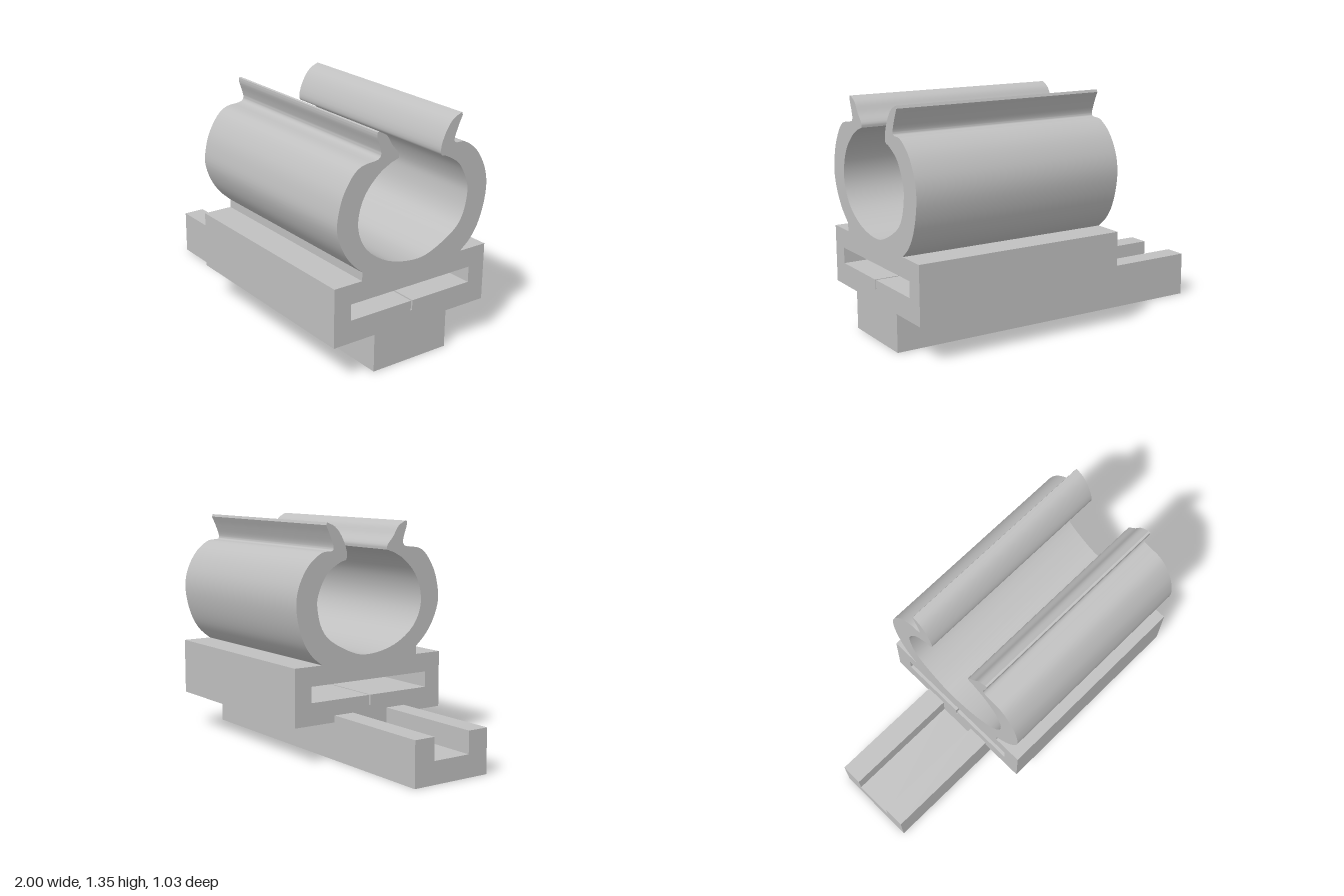
import * as THREE from 'three';
import { toCreasedNormals } from 'three/addons/utils/BufferGeometryUtils.js';

const BODY_START = -0.28;
const END = 1;

// Points are [-z, y]; the profile is swept along x.
const toVectors = (points) => points.map(([a, y]) => new THREE.Vector2(a, y));

function smooth(points, divisions) {
  const curve = new THREE.CatmullRomCurve3(
    points.map(([a, y]) => new THREE.Vector3(a, y, 0)), false, 'centripetal');
  return curve.getPoints(divisions).map((p) => [p.x, p.y]);
}

function sweep(name, points, x0, x1, material, hole) {
  const shape = new THREE.Shape(toVectors(points));
  if (hole) shape.holes.push(new THREE.Path(toVectors(hole)));
  let geometry = new THREE.ExtrudeGeometry(shape, { depth: x1 - x0, bevelEnabled: false });
  geometry.rotateY(Math.PI / 2);
  geometry.translate(x0, 0, 0);
  geometry = toCreasedNormals(geometry, 0.6);
  const mesh = new THREE.Mesh(geometry, material);
  mesh.name = name;
  return mesh;
}

export function createModel() {
  const group = new THREE.Group();
  group.name = 'railClip';
  const grey = new THREE.MeshStandardMaterial({ color: 0xc0c0c0 });
  grey.name = 'lightGrey';

  // Grooved rail sticking out past the body
  group.add(sweep('rail', [
    [-0.25, 0], [0.25, 0], [0.25, 0.26], [0.12, 0.26],
    [0.12, 0.13], [-0.12, 0.13], [-0.12, 0.26], [-0.25, 0.26],
  ], -1, BODY_START, grey));

  // Solid foot below the body
  group.add(sweep('foot', [
    [-0.25, 0], [0.25, 0], [0.25, 0.22], [-0.25, 0.22],
  ], BODY_START, END, grey));

  // Wide body with a through slot and a thin slit in the slot floor
  group.add(sweep('body', [
    [-0.517, 0.22], [0.517, 0.22], [0.517, 0.556], [-0.517, 0.556],
  ], BODY_START, END, grey, [
    [-0.41, 0.35], [-0.41, 0.443], [0.407, 0.443], [0.407, 0.35],
    [0.006, 0.35], [0.006, 0.293], [-0.004, 0.293], [-0.004, 0.35],
  ]));

  // Open clip: outer walls, flared lips and the rounded bore
  const frontOuter = smooth([
    [-0.34, 0.605], [-0.41, 0.67], [-0.47, 0.76], [-0.505, 0.87], [-0.495, 0.97],
    [-0.465, 1.06], [-0.4, 1.155], [-0.35, 1.185], [-0.25, 1.2],
    [-0.235, 1.22], [-0.242, 1.26], [-0.262, 1.32], [-0.262, 1.342],
  ], 48);
  const frontLip = smooth([
    [-0.25, 1.345], [-0.2, 1.315], [-0.165, 1.26], [-0.12, 1.205], [-0.12, 1.182],
  ], 14);
  const bore = smooth([
    [-0.17, 1.165], [-0.24, 1.125], [-0.33, 1.03], [-0.37, 0.92], [-0.365, 0.82],
    [-0.31, 0.72], [-0.2, 0.64], [-0.08, 0.6], [0.05, 0.59], [0.14, 0.615],
    [0.29, 0.7], [0.34, 0.77], [0.365, 0.87], [0.365, 0.93], [0.33, 1.02],
    [0.285, 1.08], [0.2, 1.13], [0.17, 1.14], [0.165, 1.18],
    [0.2, 1.27], [0.245, 1.325], [0.3, 1.35],
  ], 64);
  const backOuter = smooth([
    [0.306, 1.335], [0.28, 1.28], [0.256, 1.21], [0.262, 1.193], [0.33, 1.185],
    [0.42, 1.12], [0.485, 1.01], [0.505, 0.91], [0.49, 0.79], [0.45, 0.68],
    [0.4, 0.61], [0.335, 0.556],
  ], 44);
  group.add(sweep('clip',
    [[-0.34, 0.556], ...frontOuter, ...frontLip, ...bore, ...backOuter],
    BODY_START, END, grey));

  return group;
}
